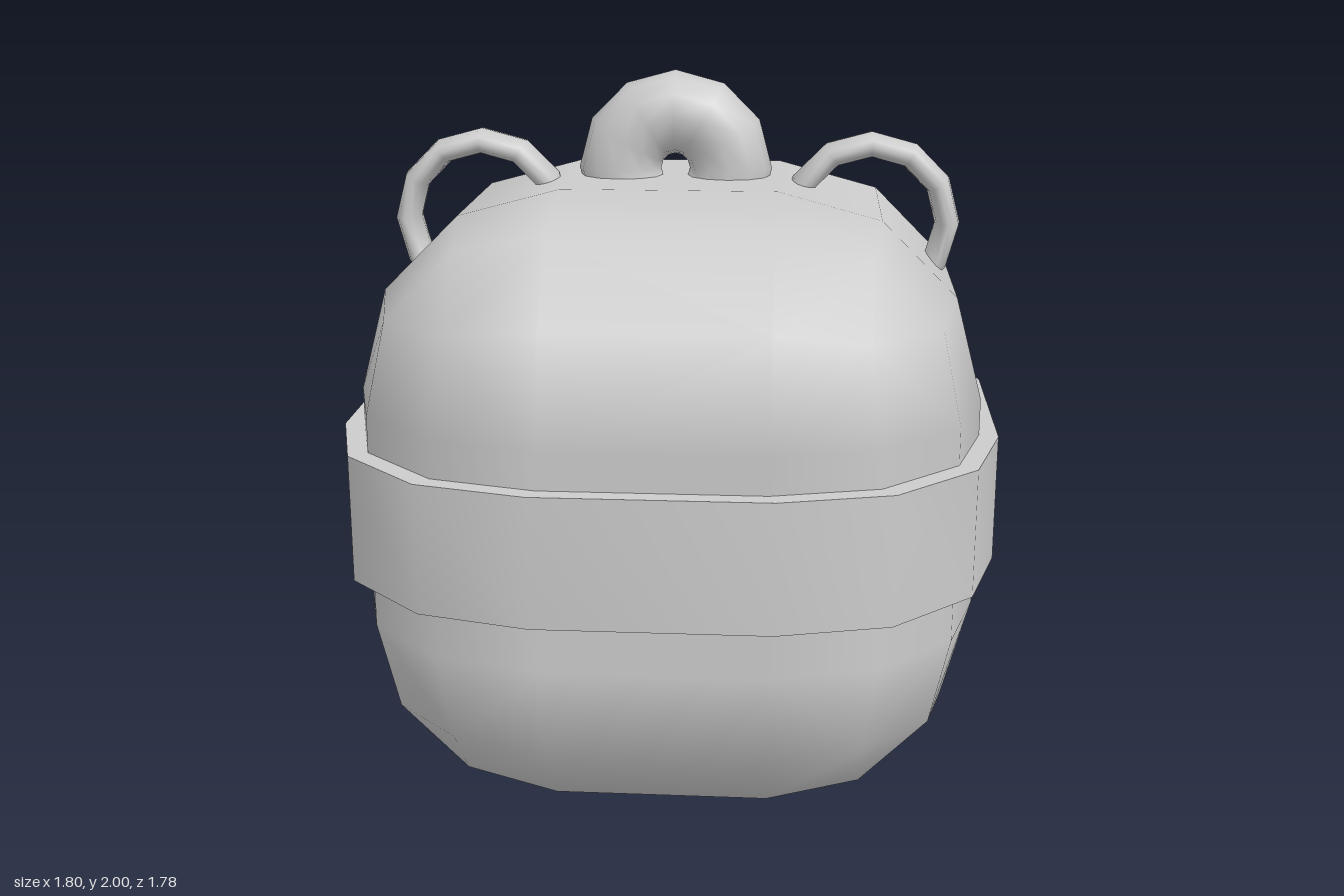
import * as THREE from 'three';
import { ConvexGeometry } from 'three/addons/geometries/ConvexGeometry.js';
import { toCreasedNormals } from 'three/addons/utils/BufferGeometryUtils.js';

const RADIUS = 0.56;                                   // rounding of the body
const CORE = new THREE.Vector3(0.29, 0.295, 0.28);     // half size of the flat faces
const HEIGHT = CORE.y + RADIUS;                        // half height of the body

// Rounded cube: three-step arcs on every edge, smooth normals
function bodyGeometry() {
  const t = Math.tan(Math.PI / 6);
  const octant = [];
  for (const [a, b, c] of [[1, 0, 0], [1, t, 0], [1, 0, t], [1, t, t]]) {
    octant.push([a, b, c], [c, a, b], [b, c, a]);
  }
  const points = [];
  for (const sx of [-1, 1]) for (const sy of [-1, 1]) for (const sz of [-1, 1]) {
    for (const d of octant) {
      const p = new THREE.Vector3(...d).setLength(RADIUS).add(CORE);
      points.push(p.multiply(new THREE.Vector3(sx, sy, sz)));
    }
  }
  const geometry = new ConvexGeometry(points);
  const { position, normal } = geometry.attributes;
  const low = CORE.clone().negate();
  const p = new THREE.Vector3();
  for (let i = 0; i < position.count; i++) {
    p.fromBufferAttribute(position, i);
    const n = p.clone().sub(p.clone().clamp(low, CORE)).normalize();
    normal.setXYZ(i, n.x, n.y, n.z);
  }
  return geometry;
}

// Horizontal outline of the body, scaled
function outline(scale) {
  const points = [];
  for (let corner = 0; corner < 4; corner++) {
    const cx = corner === 0 || corner === 3 ? CORE.x : -CORE.x;
    const cz = corner < 2 ? CORE.z : -CORE.z;
    for (let i = 0; i <= 3; i++) {
      const a = (corner * 3 + i) * Math.PI / 6;
      points.push(new THREE.Vector2(cx + RADIUS * Math.cos(a), cz + RADIUS * Math.sin(a)).multiplyScalar(scale));
    }
  }
  return points;
}

export function createModel() {
  const group = new THREE.Group();
  const material = new THREE.MeshStandardMaterial({ color: 0xcccccc });

  function add(name, geometry, x, y) {
    const mesh = new THREE.Mesh(geometry, material);
    mesh.name = name;
    mesh.position.set(x, y, 0);
    group.add(mesh);
    return mesh;
  }

  add('body', bodyGeometry(), 0, HEIGHT);

  // Belt around the middle
  const shape = new THREE.Shape(outline(1.06));
  shape.holes.push(new THREE.Path(outline(0.98).reverse()));
  const belt = new THREE.ExtrudeGeometry(shape, { depth: 0.35, bevelEnabled: false });
  belt.rotateX(-Math.PI / 2);
  add('belt', toCreasedNormals(belt, Math.PI / 4), 0, 0.7);

  // Thick loop on top
  const loop = new THREE.TorusGeometry(0.155, 0.115, 12, 12);
  add('topLoop', loop, 0, 1.73).scale.z = 0.87;

  // Thin, wide loops on both shoulders
  const ear = new THREE.TorusGeometry(0.215, 0.035, 12, 12);
  for (const [name, side] of [['leftLoop', 1], ['rightLoop', -1]]) {
    add(name, ear, side * 0.545, 1.585).scale.z = 2.15;
  }
  return group;
}
